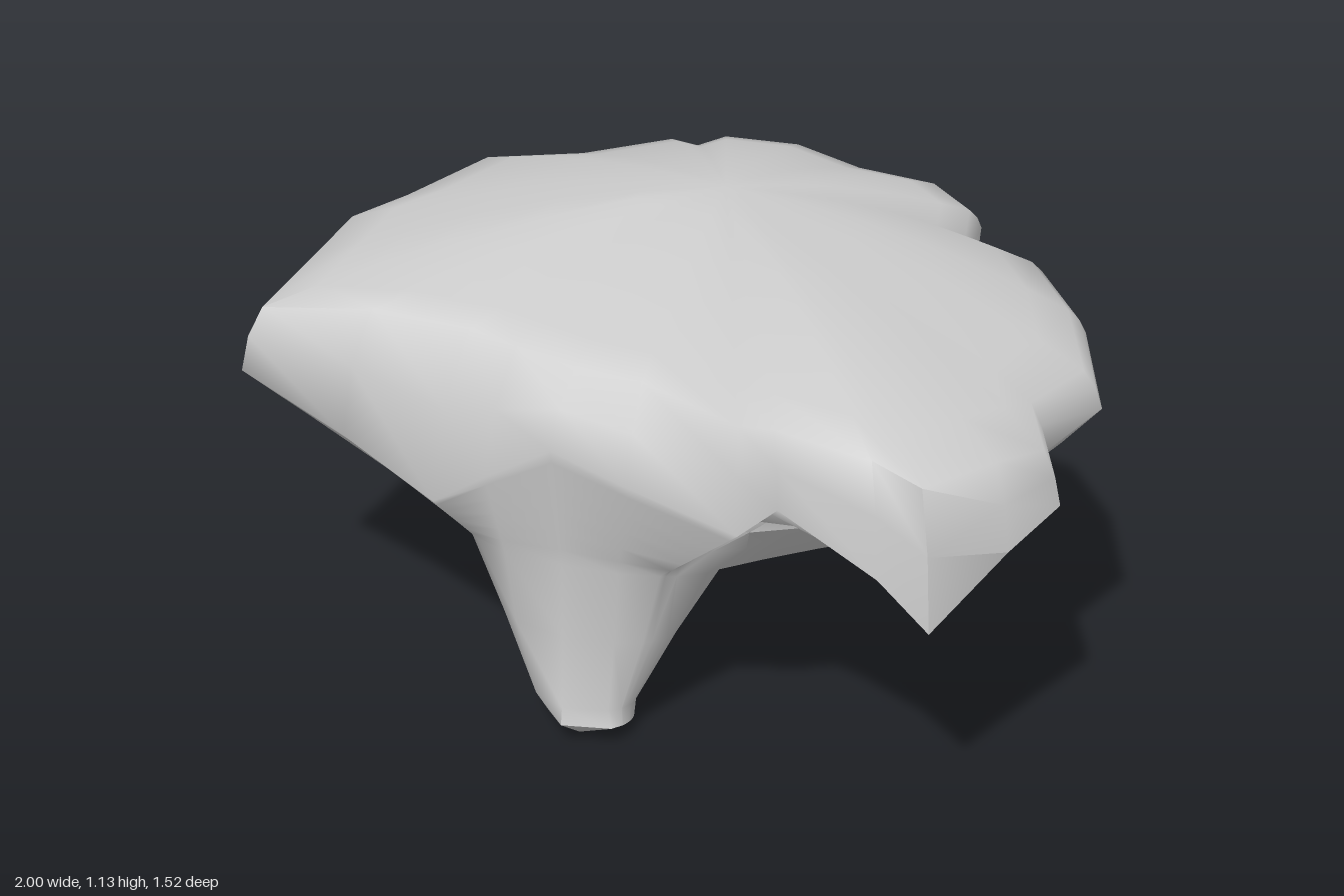
import * as THREE from 'three';
import { toCreasedNormals } from 'three/addons/utils/BufferGeometryUtils.js';

// Outline of the cap: x, z, height of the rim, height of the shoulder above it
const RIM = [
  [-1, .38, .77, .93], [-.98, .12, .84, .96], [-.98, -.11, .88, .97], [-.87, -.22, .93, 1.0],
  [-.76, -.5, .96, 1.01], [-.5, -.54, 1.0, 1.04], [-.31, -.71, 1.0, 1.04], [-.23, -.69, .99, 1.04],
  [-.17, -.75, .99, 1.05], [.03, -.76, .99, 1.05], [.23, -.66, 1.0, 1.05], [.43, -.67, .97, 1.03],
  [.55, -.58, .96, 1.01], [.58, -.42, .95, 1.01], [.76, -.39, .93, .98], [.9, -.19, .91, .96],
  [1, .08, .86, .94], [.92, .28, .84, .94], [.99, .44, .8, .91], [.91, .57, .74, .93],
  [.79, .76, .62, .94], [.66, .71, .7, .96], [.42, .66, .8, .97], [.32, .63, .7, .95],
  [.05, .59, .75, .96], [-.14, .57, .8, .96], [-.32, .53, .68, .97], [-.47, .49, .57, .98],
  [-.72, .43, .67, .98],
];
const CROWN = [0, -.24, 1.13];
const FIRST_STEM = 23, LAST_STEM = 27; // rim points that run straight down the stem
const KEEL = 14; // rim point above the heavy keel of the underside
const { lerp, smoothstep } = THREE.MathUtils;

// Point of an oval section lying in the direction of a rim point
function oval([x, z], cx, cz, rx, rz, y) {
  const a = Math.atan2((z - cz) / rz, (x - cx) / rx);
  return [cx + rx * Math.cos(a), y + .025 * Math.sin(a), cz + rz * Math.sin(a)];
}
const neck = p => oval(p, -.11, .378, .312, .155, .46);

// The front face above the stem leans back further than the rest of the rim
const inset = i => (i > FIRST_STEM && i <= LAST_STEM ? .86 : i === 28 ? .91 : .95);

// Domed upper surface: t runs from the crown (0) to the shoulder (1)
function topRing(t) {
  return RIM.map(([x, z, , shoulder], i) => [
    lerp(CROWN[0], x, t * inset(i)),
    lerp(CROWN[2], shoulder, Math.pow(t, i >= FIRST_STEM ? 1.4 : 1.9)),
    lerp(CROWN[1], z, t * inset(i)),
  ]);
}

// Rounded edge between shoulder and rim
function edgeRing() {
  return RIM.map(([x, z, rim, shoulder], i) => {
    const k = lerp(1, inset(i), .35);
    return [lerp(CROWN[0], x, k), lerp(rim, shoulder, .55), lerp(CROWN[1], z, k)];
  });
}

// Hollowed underside: f runs from the rim (0) to the neck (1)
function underRing(f) {
  return RIM.map((p, i) => {
    const [x, z, rim] = p, n = neck(p);
    const straight = i === 0 || i >= FIRST_STEM;
    const keel = Math.max(0, 1 - Math.abs(i - KEEL) / 4);
    const hollow = Math.pow(f, straight ? 1 : 1.3);
    const drop = lerp(hollow, smoothstep(Math.pow(f, .65), 0, 1), keel);
    let y = lerp(rim, n[1], drop);
    if (i > 2 && i < 19) y -= .06 * Math.min(1, f / .1) * (1 - f);
    // arch below the drooping front lip
    if (i >= 19 && i < 22) y += Math.sin(Math.PI * f) * (.92 - rim) * .6;
    return [lerp(x, n[0], f), y, lerp(z, n[2], f)];
  });
}

// Joins closed rings with one point at each end
function loft(start, rings, end) {
  const n = rings[0].length, pos = [...start], idx = [];
  rings.forEach(r => r.forEach(p => pos.push(...p)));
  pos.push(...end);
  const last = 1 + rings.length * n;
  for (let i = 0; i < n; i++) {
    const j = (i + 1) % n;
    idx.push(0, 1 + j, 1 + i);
    for (let r = 0; r < rings.length - 1; r++) {
      const a = 1 + r * n + i, b = 1 + r * n + j;
      idx.push(a, b, a + n, b, b + n, a + n);
    }
    idx.push(last - n + i, last - n + j, last);
  }
  const g = new THREE.BufferGeometry();
  g.setAttribute('position', new THREE.Float32BufferAttribute(pos, 3));
  g.setIndex(idx);
  return toCreasedNormals(g, 1.1);
}

export function createModel() {
  const group = new THREE.Group();
  group.name = 'bracketFungus';
  const material = new THREE.MeshStandardMaterial({ color: 0xcccccc, side: THREE.DoubleSide });

  const rings = [
    ...[.2, .4, .6, .75, .88, 1].map(topRing),
    edgeRing(),
    ...[0, .1, .3, .5, .7, .86, 1].map(underRing),
    // tapering stem and blunt foot
    RIM.map(p => oval(p, -.118, .4, .212, .135, .27)),
    RIM.map(p => oval(p, -.12, .432, .12, .115, .08)),
    RIM.map(p => oval(p, -.1, .45, .1, .115, .04)),
  ];
  const body = new THREE.Mesh(
    loft([CROWN[0], CROWN[2], CROWN[1]], rings, [-.12, 0, .48]), material);
  body.name = 'capAndStem';
  group.add(body);
  return group;
}
